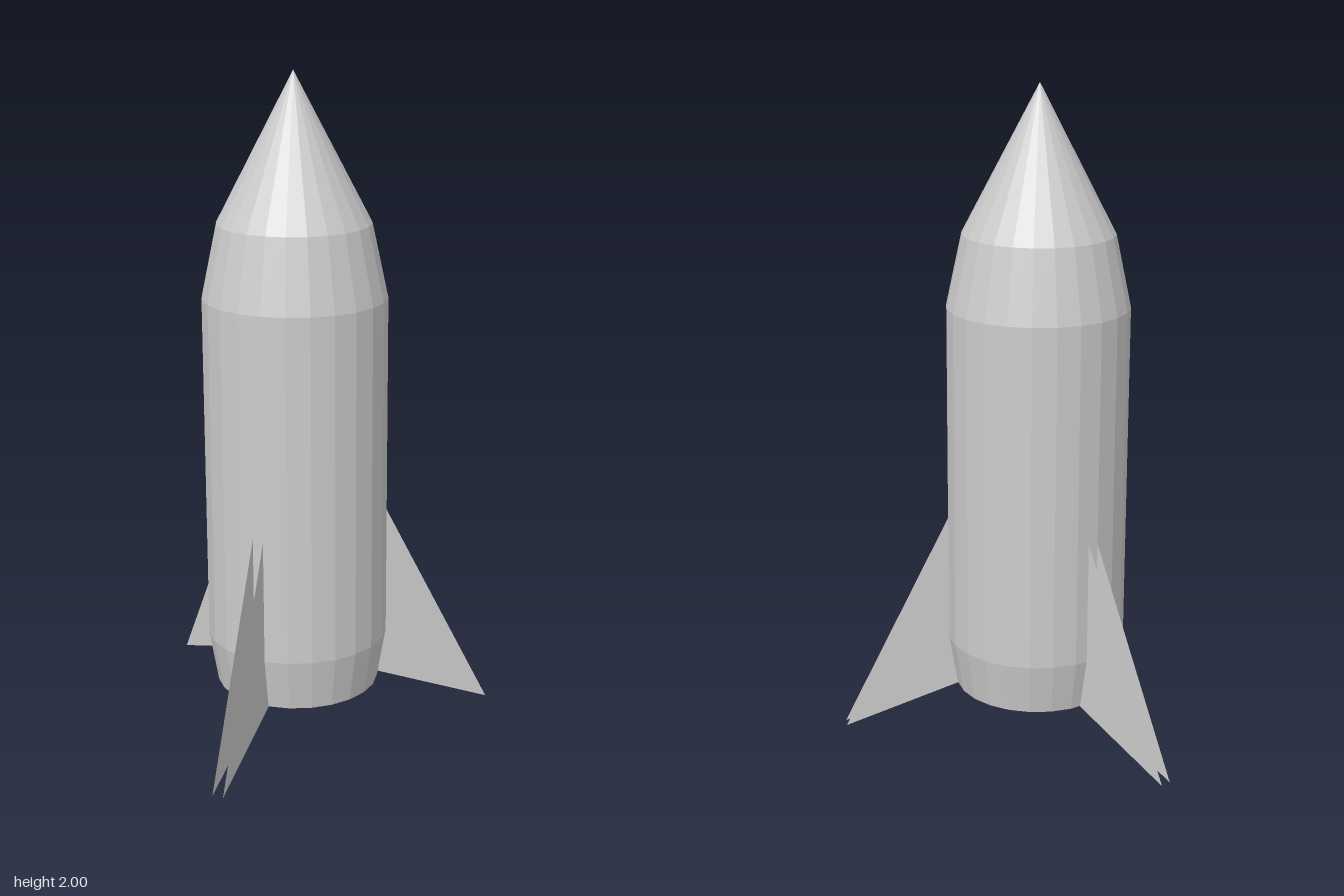
import * as THREE from 'three';

export function createModel() {
  const rocket = new THREE.Group();
  rocket.name = 'rocket';
  rocket.position.set(-0.14, 0, 0.008);

  const hull = new THREE.MeshStandardMaterial({ color: 0xcccccc, flatShading: true });
  hull.name = 'light grey hull';
  // The fins are open sheets, so they show from both sides
  const sheet = new THREE.MeshStandardMaterial({ color: 0xcccccc, flatShading: true, side: THREE.DoubleSide });
  sheet.name = 'light grey fin sheet';

  // Stacked 24-sided hull sections: name, bottom y, top y, bottom radius, top radius
  const sections = [
    ['tail', 0.12, 0.28, 0.25, 0.277],
    ['fuselage', 0.28, 1.34, 0.277, 0.277],
    ['shoulder', 1.34, 1.56, 0.277, 0.23],
    ['noseCone', 1.56, 2, 0.23, 0],
  ];
  for (const [name, y0, y1, r0, r1] of sections) {
    const geometry = new THREE.CylinderGeometry(r1, r0, y1 - y0, 24, 1, true);
    const mesh = new THREE.Mesh(geometry, hull);
    mesh.name = name;
    mesh.position.y = (y0 + y1) / 2;
    rocket.add(mesh);
  }

  // Flat base closing the tail
  const base = new THREE.Mesh(new THREE.CircleGeometry(0.25, 24), hull);
  base.name = 'base';
  base.rotation.x = Math.PI / 2;
  base.position.y = 0.12;
  rocket.add(base);

  // Three swept fins, each a pair of parallel sheets
  const outline = new THREE.Shape([
    [0.274, 0.665], [0.274, 0.28], [0.247, 0.12], [0.607, 0],
  ].map(([x, y]) => new THREE.Vector2(x, y)));
  const finGeometry = new THREE.ShapeGeometry(outline);
  for (let i = 0; i < 3; i++) {
    const fin = new THREE.Group();
    fin.name = `fin${i + 1}`;
    fin.rotation.y = -i * Math.PI * 2 / 3;
    for (const offset of [0, 0.033]) {
      const side = new THREE.Mesh(finGeometry, sheet);
      side.name = offset ? 'outerFinSheet' : 'innerFinSheet';
      side.position.z = offset;
      fin.add(side);
    }
    rocket.add(fin);
  }

  const model = new THREE.Group();
  model.name = 'model';
  model.add(rocket);
  return model;
}
